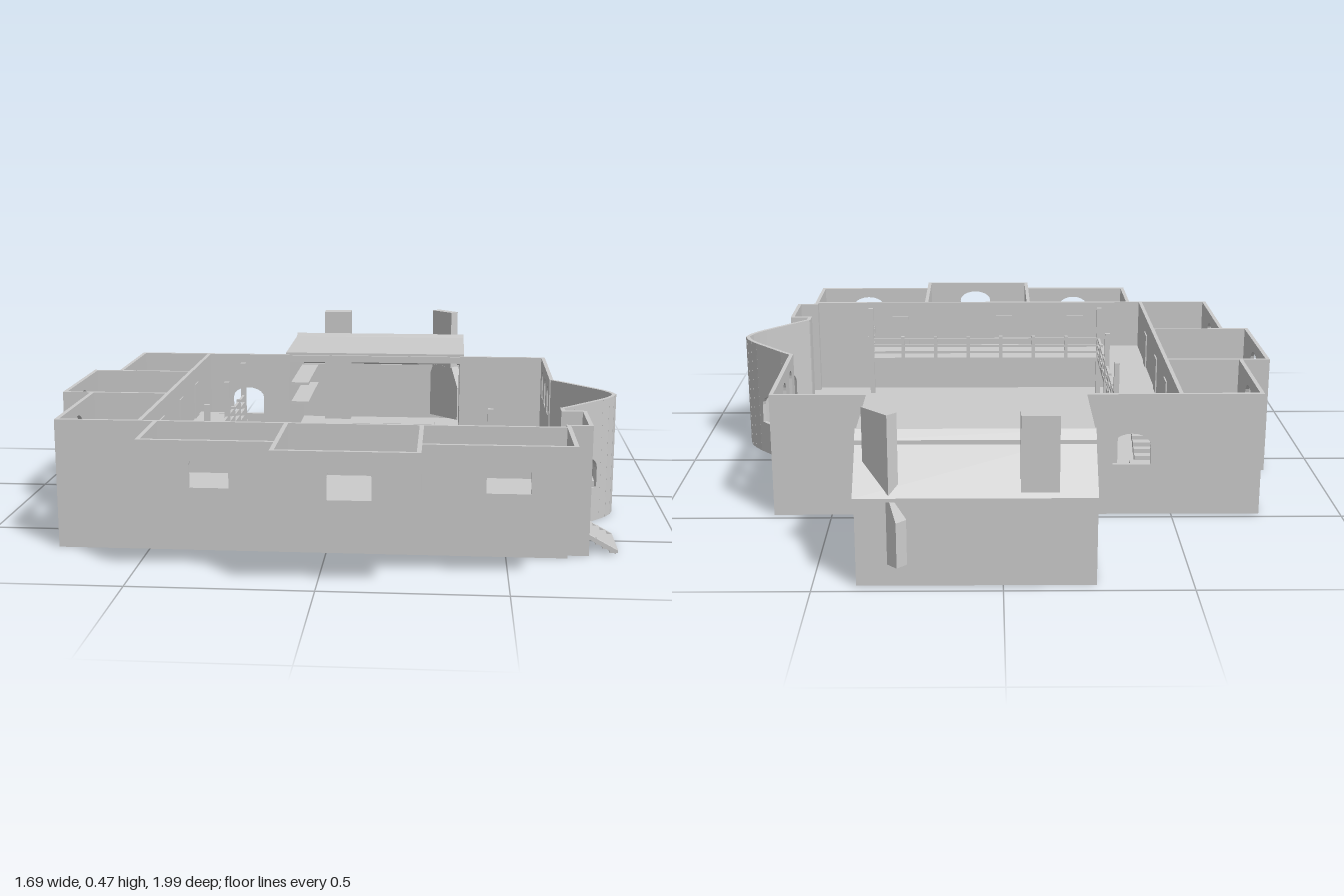
import * as THREE from 'three';

const mat = new THREE.MeshStandardMaterial({ color: 0xcccccc, flatShading: true, side: THREE.DoubleSide });
const T = 0.012, TOP = 0.37, FLOOR = 0.045, UPPER = 0.205;

export function createModel() {
  const root = new THREE.Group();

  function add(name, geo, x = 0, y = 0, z = 0, ry = 0, parent = root) {
    const m = new THREE.Mesh(geo, mat);
    m.name = name;
    m.position.set(x, y, z);
    m.rotation.y = ry;
    parent.add(m);
    return m;
  }
  // box given by its limits
  const box = (name, x0, x1, y0, y1, z0, z1, parent = root) =>
    add(name, new THREE.BoxGeometry(x1 - x0, y1 - y0, z1 - z0), (x0 + x1) / 2, (y0 + y1) / 2, (z0 + z1) / 2, 0, parent);
  const poly = pts => new THREE.Shape(pts.map(p => new THREE.Vector2(p[0], p[1])));
  // slab with an outline in (x, z), hanging down from y
  function slab(name, pts, y, depth) {
    const g = new THREE.ExtrudeGeometry(poly(pts), { depth, bevelEnabled: false });
    return add(name, g.rotateX(Math.PI / 2), 0, y, 0);
  }
  // outline in (z, y) extruded from x0 to x1
  function profile(name, pts, x0, x1) {
    const g = new THREE.ExtrudeGeometry(poly(pts), { depth: x1 - x0, bevelEnabled: false });
    return add(name, g.rotateY(-Math.PI / 2), x1, 0, 0);
  }
  // arched or square opening
  function opening({ at, w, y0, y1, square }) {
    const p = new THREE.Path(), h = w / 2, s = square ? y1 : y1 - Math.min(h, 0.035);
    p.moveTo(at - h, y0);
    p.lineTo(at - h, s);
    if (square) p.lineTo(at + h, s);
    else for (let i = 1; i <= 10; i++) {
      const a = Math.PI * (1 - i / 10);
      p.lineTo(at + h * Math.cos(a), s + (y1 - s) * Math.sin(a));
    }
    p.lineTo(at + h, y0);
    p.closePath();
    return p;
  }
  // wall between two plan points, openings measured from the first
  function wall(name, x0, z0, x1, z1, y0 = 0, y1 = TOP, holes = [], ext = T / 2) {
    const L = Math.hypot(x1 - x0, z1 - z0);
    const s = poly([[-ext, y0], [L + ext, y0], [L + ext, y1], [-ext, y1]]);
    s.holes = holes.map(opening);
    const g = new THREE.ExtrudeGeometry(s, { depth: T, bevelEnabled: false }).translate(0, 0, -T / 2);
    return add(name, g, x0, 0, z0, Math.atan2(z0 - z1, x1 - x0));
  }
  const upperWin = (at, w = 0.105) => ({ at, w, y0: 0.243, y1: 0.337 });
  const lowerWin = (at, w = 0.105) => ({ at, w, y0: 0.105, y1: 0.2 });

  // plan of the curved bay, one half mirrored about z = 0.185
  const half = [[0.664, -0.04], [0.698, -0.005], [0.792, 0.1], [0.813, 0.127], [0.829, 0.155], [0.838, 0.185]];
  const bay = [...half, ...half.slice(0, -1).reverse().map(([x, z]) => [x, 0.37 - z])];

  // ground floor
  slab('groundFloor', [[-0.754, -0.469], [-0.24, -0.469], [-0.24, -0.96], [0.38, -0.96], [0.38, -0.469], [0.664, -0.469],
    ...bay, [0.664, 0.45], [0.725, 0.45], [0.725, 0.643], [0.664, 0.643], [0.664, 0.669], [-0.754, 0.669],
    [-0.754, 0.274], [-0.839, 0.274], [-0.839, -0.104], [-0.754, -0.104]], FLOOR, 0.01);

  // left wing: three rooms with two storeys of windows
  const both = at => [upperWin(at), lowerWin(at)];
  wall('leftWingWall', -0.754, -0.469, -0.754, -0.104, 0, TOP, both(0.18));
  wall('leftBumpWall', -0.839, -0.104, -0.839, 0.274, 0, TOP, both(0.19));
  wall('leftWingWall', -0.754, 0.274, -0.754, 0.669, 0, TOP, both(0.2));
  for (const z of [-0.104, 0.274]) wall('leftRoomDivider', -0.839, z, -0.52, z);
  wall('leftInnerWall', -0.52, -0.469, -0.52, 0.669);
  box('leftUpperFloor', -0.754, -0.52, UPPER - 0.012, UPPER, -0.469, 0.669);
  box('leftBumpUpperFloor', -0.839, -0.754, UPPER - 0.012, UPPER, -0.104, 0.274);

  // front wall and overhanging upper rooms
  wall('frontWall', -0.754, 0.669, 0.664, 0.669);
  wall('frontRoomWall', -0.474, 0.899, -0.109, 0.899, 0.215, TOP, [upperWin(0.187)]);
  wall('frontMiddleWall', -0.109, 0.994, 0.264, 0.994, 0.215, TOP, [upperWin(0.197, 0.115)]);
  wall('frontRoomWall', 0.264, 0.899, 0.664, 0.899, 0.215, TOP, [upperWin(0.23, 0.115)]);
  for (const [x, z] of [[-0.474, 0.899], [-0.109, 0.994], [0.264, 0.994], [0.664, 0.899]])
    wall('frontRoomSide', x, 0.669, x, z, 0.215, TOP);
  box('frontRoomFloor', -0.48, 0.67, 0.215, 0.225, 0.669, 0.9);
  box('frontMiddleFloor', -0.115, 0.27, 0.215, 0.225, 0.9, 1.0);

  // back and right walls
  wall('backWall', -0.754, -0.469, -0.24, -0.469, 0, TOP, [{ at: 0.374, w: 0.11, y0: 0.155, y1: 0.25 }]);
  wall('backWall', 0.38, -0.469, 0.664, -0.469);
  wall('rightWall', 0.664, -0.469, 0.664, -0.04, 0, TOP, [0.094, 0.222, 0.351].map(a => upperWin(a, 0.066)));
  for (let i = 0; i < bay.length - 1; i++) {
    const L = Math.hypot(bay[i + 1][0] - bay[i][0], bay[i + 1][1] - bay[i][1]);
    wall('bayWall', ...bay[i], ...bay[i + 1], 0, TOP, L > 0.1 ? [lowerWin(L / 2, 0.1)] : [], 0.002);
  }
  wall('rightWall', 0.664, 0.41, 0.664, 0.45);
  wall('rightWall', 0.664, 0.643, 0.664, 0.669);

  // entrance porch, door and steps
  for (const z of [0.45, 0.643]) wall('porchSide', 0.664, z, 0.725, z);
  wall('porchFront', 0.725, 0.45, 0.725, 0.643, 0, TOP,
    [{ at: 0.097, w: 0.1, y0: FLOOR, y1: 0.185, square: true }, upperWin(0.097, 0.066)]);
  box('door', 0.718, 0.725, FLOOR, 0.185, 0.497, 0.597);
  for (const z of [0.525, 0.569]) for (const y of [0.085, 0.147])
    box('doorPanel', 0.724, 0.728, y - 0.02, y + 0.02, z - 0.015, z + 0.015);
  box('doorHood', 0.725, 0.742, 0.188, 0.205, 0.485, 0.609);
  for (let i = 0; i < 4; i++) {
    const x = 0.73 + i * 0.02, y = 0.047 - i * 0.012;
    box('entranceStep', x, x + 0.024, y - 0.008, y, 0.46, 0.625);
  }
  for (const z of [0.462, 0.623]) {
    const s = box('stepStringer', -0.045, 0.045, -0.006, 0.006, z - 0.005, z + 0.005);
    s.position.x = 0.77;
    s.position.y = 0.028;
    s.rotation.z = -0.5;
  }

  // kitchen: gabled side walls, back wall and roof
  const gable = [[-0.469, 0], [-0.469, 0.366], [-0.845, 0.373], [-0.965, 0.25], [-0.965, 0]];
  profile('kitchenSideWall', gable, -0.245, -0.233);
  profile('kitchenSideWall', gable, 0.373, 0.385);
  wall('kitchenBackWall', -0.239, -0.959, 0.379, -0.959, 0, 0.255);
  profile('kitchenRoof', [[-0.475, 0.367], [-0.475, 0.376], [-0.84, 0.381], [-0.977, 0.248], [-0.977, 0.238], [-0.84, 0.37]], -0.245, 0.388);
  profile('roofRidge', [[-0.832, 0.378], [-0.838, 0.392], [-0.846, 0.392], [-0.868, 0.368], [-0.868, 0.356]], -0.245, 0.388);
  box('kitchenBeam', -0.24, 0.38, 0.345, 0.368, -0.485, -0.465);
  for (const x of [-0.05, 0.18]) box('ceilingBeam', x - 0.01, x + 0.01, 0.345, 0.366, -0.83, -0.475);
  for (const y of [0.18, 0.25]) box('kitchenShelf', -0.233, -0.17, y, y + 0.01, -0.9, -0.52);

  // chimneys, the second set across the kitchen corner
  box('chimney', -0.145, -0.045, FLOOR, 0.465, -0.965, -0.905);
  const corner = new THREE.Group();
  corner.name = 'cornerChimney';
  corner.position.set(0.322, 0, -0.92);
  corner.rotation.y = -Math.PI / 4;
  root.add(corner);
  const breast = poly([[-0.083, 0.06], [0.083, 0.06], [0.083, 0.185], [0.05, 0.26], [-0.05, 0.26], [-0.083, 0.185]]);
  add('chimneyBreast', new THREE.ExtrudeGeometry(breast, { depth: 0.036, bevelEnabled: false }), 0, 0, -0.018, 0, corner);
  box('chimneyStack', -0.056, 0.044, 0.25, 0.47, -0.017, 0.017, corner);

  // gallery around the hall, with posts and railing
  box('galleryFloorLeft', -0.52, -0.355, UPPER - 0.015, UPPER, -0.21, 0.669);
  box('galleryFloorFront', -0.36, 0.465, UPPER - 0.015, UPPER, 0.505, 0.669);
  for (const [x, z] of [[-0.357, -0.195], [-0.357, 0.155], [-0.357, 0.51], [0.455, 0.51]])
    box('galleryPost', x - 0.008, x + 0.008, FLOOR, 0.385, z - 0.008, z + 0.008);
  function railing(x0, z0, x1, z1, n) {
    for (const y of [0.225, 0.248, 0.272])
      box('galleryRail', Math.min(x0, x1) - 0.004, Math.max(x0, x1) + 0.004, y - 0.004, y + 0.004,
        Math.min(z0, z1) - 0.004, Math.max(z0, z1) + 0.004);
    for (let i = 0; i <= n; i++) {
      const x = x0 + (x1 - x0) * i / n, z = z0 + (z1 - z0) * i / n;
      box('railingPost', x - 0.006, x + 0.006, UPPER, 0.283, z - 0.006, z + 0.006);
    }
  }
  railing(-0.357, -0.195, -0.357, 0.51, 6);
  railing(-0.357, 0.51, 0.46, 0.51, 7);
  railing(0.46, 0.51, 0.46, 0.66, 2);

  // doors opening onto the gallery
  for (const z of [-0.16, 0.1, 0.4]) box('galleryDoor', -0.516, -0.51, UPPER, 0.32, z - 0.03, z + 0.03);
  for (const x of [-0.28, -0.02, 0.36]) box('galleryDoor', x - 0.03, x + 0.03, UPPER, 0.32, 0.658, 0.664);

  // staircase turning in the back corner
  const n = 6, rise = (UPPER - FLOOR) / (2 * n + 1);
  for (let i = 0; i < n; i++) {
    const x = -0.228 - i * 0.026, y = FLOOR + rise * (i + 1);
    box('lowerStair', x - 0.028, x, y - 0.02, y, -0.463, -0.375);
    const z = -0.37 + i * 0.026, y2 = FLOOR + rise * (n + 2 + i);
    box('upperStair', -0.514, -0.4, y2 - 0.02, y2, z, z + 0.028);
  }
  box('stairLanding', -0.514, -0.384, FLOOR + rise * (n + 1) - 0.015, FLOOR + rise * (n + 1), -0.463, -0.368);

  // counters and the bay table
  box('barCounter', -0.1, 0.285, FLOOR, 0.115, -0.355, -0.26);
  box('kitchenCounter', -0.02, 0.285, FLOOR, 0.115, -0.6, -0.51);
  box('tableTop', 0.567, 0.685, 0.108, 0.118, 0.125, 0.235);
  box('tableLeg', 0.615, 0.637, FLOOR, 0.11, 0.17, 0.19);
  box('tableFoot', 0.596, 0.656, FLOOR, 0.055, 0.155, 0.205);

  return root;
}
